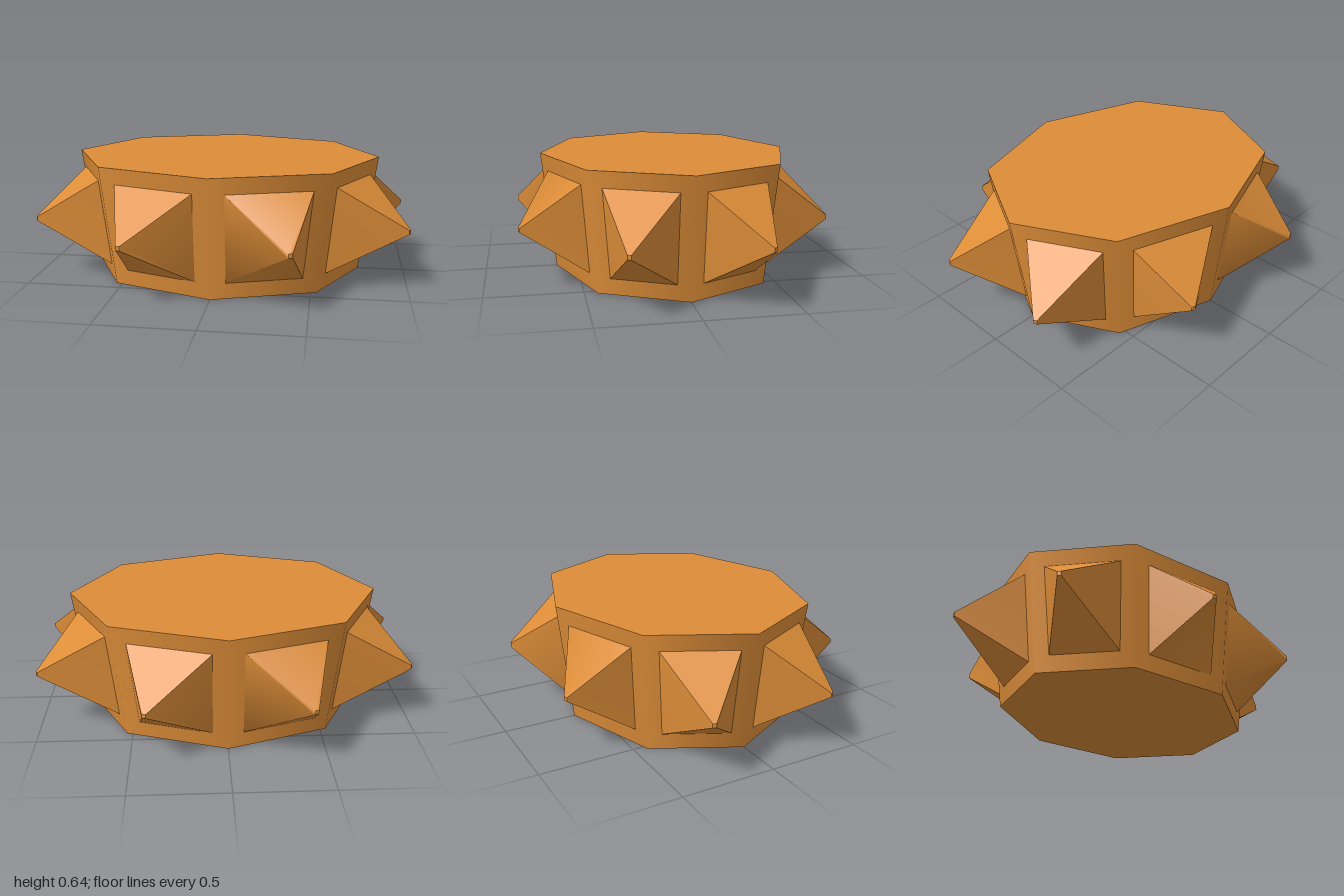
import * as THREE from 'three';
import { mergeGeometries, toCreasedNormals } from 'three/addons/utils/BufferGeometryUtils.js';

const HEIGHT = 0.64, R_TOP = 0.84, R_BOTTOM = 0.75;
const DEPTH = 0.815;          // the ring is squashed along z
const INSET = 0.086;          // margin around each spike on its side face
const HALF = Math.PI / 8;
const radiusAt = y => R_BOTTOM + (R_TOP - R_BOTTOM) * y / HEIGHT;

function quad(out, a, b, c, d) {
  for (const p of [a, b, c, a, c, d]) out.push(p.x, p.y, p.z);
}

function toGeometry(list) {
  const g = new THREE.BufferGeometry();
  g.setAttribute('position', new THREE.Float32BufferAttribute(list, 3));
  return g.scale(1, 1, DEPTH);
}

// Four-sided spike rising from an inset panel of the tapered side
function spikeGeometry(theta) {
  const point = (out, side, y) => new THREE.Vector3(
    Math.sin(theta) * out + Math.cos(theta) * side, y,
    Math.cos(theta) * out - Math.sin(theta) * side);
  const signs = [[-1, -1], [1, -1], [1, 1], [-1, 1]];
  const base = signs.map(([s, v]) => {
    const y = HEIGHT / 2 + v * (HEIGHT / 2 - INSET), r = radiusAt(y);
    return point(r * Math.cos(HALF), s * (r * Math.sin(HALF) - INSET), y);
  });
  const tip = signs.map(([s, v]) => point(1.078, s * 0.011, 0.315 + v * 0.011));

  const walls = [], cap = [];
  for (let i = 0; i < 4; i++) {
    const j = (i + 1) % 4;
    quad(walls, base[i], base[j], tip[j], tip[i]);
  }
  quad(cap, ...tip);
  const capGeometry = toGeometry(cap);
  capGeometry.computeVertexNormals();
  return mergeGeometries([toCreasedNormals(toGeometry(walls), THREE.MathUtils.degToRad(65)), capGeometry]);
}

export function createModel() {
  const group = new THREE.Group();
  group.name = 'spikedRing';
  const orange = new THREE.MeshStandardMaterial({ color: 0xdd8d38 });
  orange.name = 'orange';

  // Tapered octagonal body with smooth sides
  const bodyGeometry = new THREE.CylinderGeometry(R_TOP, R_BOTTOM, HEIGHT, 8);
  bodyGeometry.translate(0, HEIGHT / 2, 0).scale(1, 1, DEPTH);
  const body = new THREE.Mesh(bodyGeometry, orange);
  body.name = 'body';
  group.add(body);

  // One spike in the middle of every side
  for (let i = 0; i < 8; i++) {
    const spike = new THREE.Mesh(spikeGeometry(HALF + i * Math.PI / 4), orange);
    spike.name = `spike${i + 1}`;
    group.add(spike);
  }
  return group;
}
